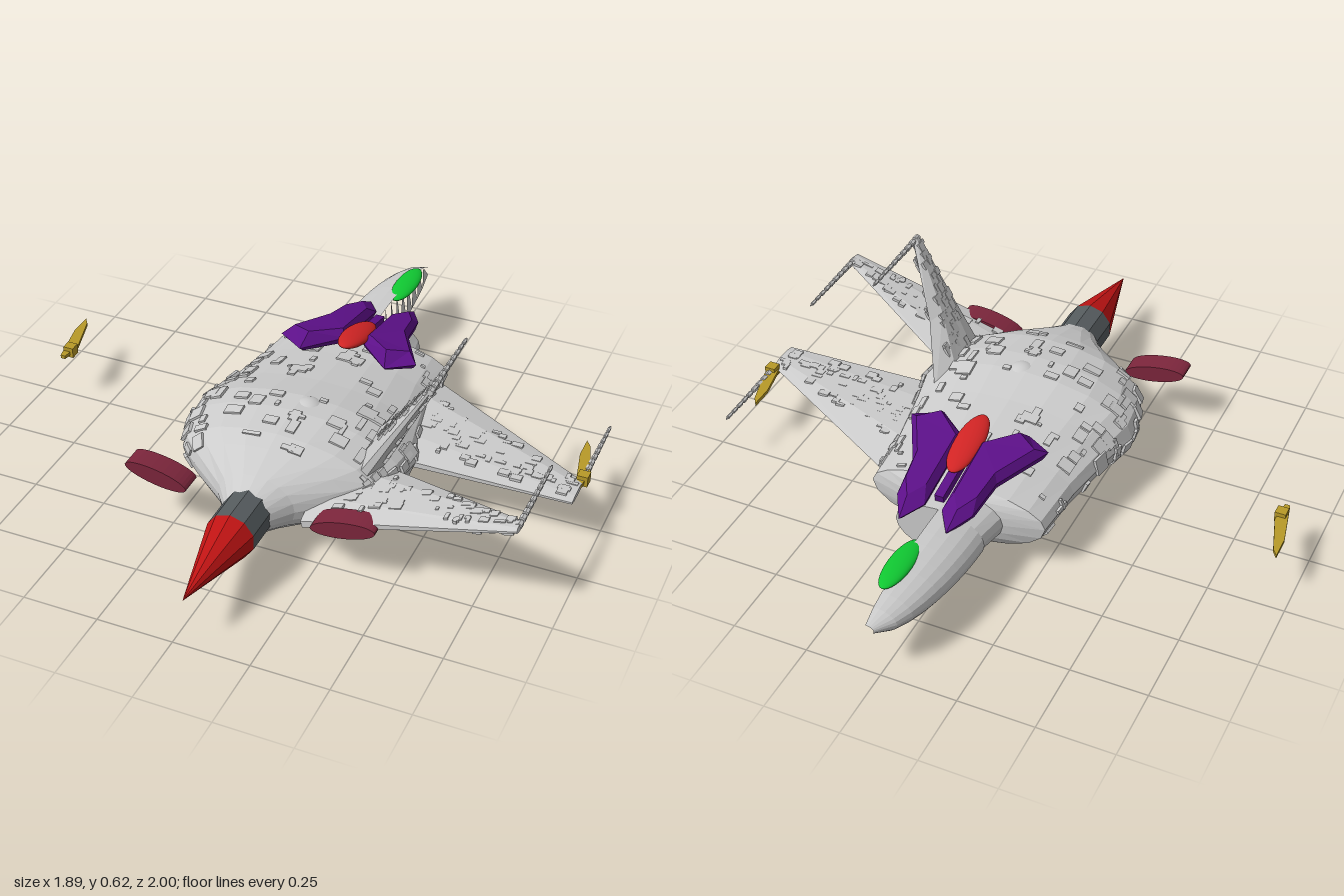
import * as THREE from 'three';
import { mergeGeometries } from 'three/addons/utils/BufferGeometryUtils.js';

const CX = 0.04; // centre line of the ship
const mat = (color = 0xcccccc, side = THREE.FrontSide) =>
  new THREE.MeshStandardMaterial({ color, side, flatShading: true });
const lerp = THREE.MathUtils.lerp;
let seed = 7;
const rnd = () => (seed = (seed * 16807) % 2147483647) / 2147483647;
const range = (a, b) => a + (b - a) * rnd();

// Skin closed rings of points, cap both ends, and turn faces outward.
function loft(rings) {
  const pos = [], n = rings[0].length;
  const tri = (a, b, c) => pos.push(...a, ...b, ...c);
  for (let i = 0; i < rings.length - 1; i++) {
    for (let j = 0; j < n; j++) {
      const k = (j + 1) % n, A = rings[i], B = rings[i + 1];
      tri(A[j], B[j], B[k]);
      tri(A[j], B[k], A[k]);
    }
  }
  const last = rings[rings.length - 1];
  for (let j = 1; j < n - 1; j++) {
    tri(rings[0][0], rings[0][j], rings[0][j + 1]);
    tri(last[0], last[j + 1], last[j]);
  }
  let volume = 0;
  const v = (i) => new THREE.Vector3().fromArray(pos, i);
  for (let i = 0; i < pos.length; i += 9) volume += v(i).dot(v(i + 3).cross(v(i + 6)));
  if (volume < 0) {
    for (let i = 0; i < pos.length; i += 9) {
      const b = pos.slice(i + 3, i + 6), c = pos.slice(i + 6, i + 9);
      pos.splice(i + 3, 6, ...c, ...b);
    }
  }
  const g = new THREE.BufferGeometry();
  g.setAttribute('position', new THREE.Float32BufferAttribute(pos, 3));
  g.computeVertexNormals();
  return g;
}

// Hull stations: z, half width, bottom, widest height, top
const HULL = [
  [-0.52, 0.15, 0.07, 0.165, 0.25], [-0.42, 0.17, 0.06, 0.165, 0.255],
  [-0.39, 0.3, 0.045, 0.17, 0.265], [-0.2, 0.315, 0.03, 0.175, 0.285],
  [0, 0.35, 0.012, 0.18, 0.31], [0.13, 0.38, 0.004, 0.18, 0.333],
  [0.22, 0.37, 0.004, 0.18, 0.335], [0.34, 0.33, 0.025, 0.18, 0.322],
  [0.4, 0.26, 0.045, 0.175, 0.305], [0.5, 0.13, 0.075, 0.17, 0.27],
  [0.57, 0.075, 0.1, 0.17, 0.24],
];
function hullAt(z, a) {
  let i = 0;
  while (i < HULL.length - 2 && z > HULL[i + 1][0]) i++;
  const t = (z - HULL[i][0]) / (HULL[i + 1][0] - HULL[i][0]);
  const [, w, bot, mid, top] = HULL[i].map((v, k) => lerp(v, HULL[i + 1][k], t));
  const s = Math.sin(a);
  return [CX + w * Math.cos(a), mid + s * (s > 0 ? top - mid : mid - bot), z];
}

// A shallow plate lying on a surface with the given normal
function plate(p, normal, w, h, d) {
  const z = new THREE.Vector3(0, 0, 1);
  z.addScaledVector(normal, -z.dot(normal)).normalize();
  const m = new THREE.Matrix4().makeBasis(new THREE.Vector3().crossVectors(normal, z), normal, z);
  return new THREE.BoxGeometry(w, h, d).applyMatrix4(m.setPosition(p));
}

function hullPlates() {
  const list = [];
  const P = (z, a) => new THREE.Vector3(...hullAt(z, a));
  for (let i = 0; i < 190; i++) {
    const z = range(-0.37, 0.38), a = range(0, Math.PI * 2), p = P(z, a);
    const n = P(z, a + 0.05).sub(P(z, a - 0.05)).cross(P(z + 0.01, a).sub(P(z - 0.01, a))).normalize();
    list.push(plate(p, n, range(0.012, 0.06), 0.01, range(0.01, 0.06)));
  }
  return mergeGeometries(list);
}

// Wing sections: x, y, leading z, trailing z, thickness
function wing(name, sections, count) {
  const group = new THREE.Group();
  group.name = name;
  const [r, e] = [sections[0], sections[sections.length - 1]];
  const n = new THREE.Vector3(r[1] - e[1], e[0] - r[0], 0).normalize();
  const rings = sections.map(([x, y, a, b, t]) =>
    [[0, 0], [0.3, 0.5], [0.75, 0.45], [1, 0.15], [1, -0.15], [0.75, -0.45], [0.3, -0.5]]
      .map(([u, s]) => [x + n.x * s * t, y + n.y * s * t, lerp(a, b, u)]));
  const panel = new THREE.Mesh(loft(rings), mat());
  panel.name = name + 'Panel';
  const list = [];
  for (let i = 0; i < count; i++) {
    const f = range(0.15, 0.97) * (sections.length - 1), k = Math.floor(f);
    const [x, y, a, b, t] = sections[k].map((v, j) => lerp(v, sections[k + 1][j], f - k));
    const side = i % 2 ? 1 : -1, u = range(0.2, 0.85);
    const p = new THREE.Vector3(x, y, lerp(a, b, u)).addScaledVector(n, side * t * 0.42);
    list.push(plate(p, n, range(0.01, 0.04), 0.009, range(0.01, 0.03)));
  }
  const plates = new THREE.Mesh(mergeGeometries(list), mat());
  plates.name = name + 'Plates';
  group.add(panel, plates);
  return group;
}

export function createModel() {
  const model = new THREE.Group();
  const add = (name, geo, material, x = 0, y = 0, z = 0) => {
    const m = new THREE.Mesh(geo, material);
    m.name = name;
    m.position.set(x, y, z);
    model.add(m);
    return m;
  };

  // Hull with scattered surface plates
  add('hull', loft(HULL.map(([z]) => Array.from({ length: 20 }, (_, j) => hullAt(z, j * Math.PI / 10)))), mat());
  add('hullPlates', hullPlates(), mat());
  const smooth = mat();
  smooth.flatShading = false;
  add('dome', new THREE.SphereGeometry(0.065, 24, 16), smooth, 0.065, 0.275, 0.155);

  // Half nose shell, with a saw-toothed inner wall on the open side
  const nose = [], wall = [], N = 9, A = 12;
  const noseAt = (i, a) => {
    const t = i / N, r = Math.sqrt(1 - 0.97 * t * t);
    const y = lerp(0.16, 0.17, t);
    return [CX - 0.155 * r * Math.sin(a), y + 0.09 * r * Math.cos(a), -0.52 - 0.48 * t];
  };
  for (let i = 0; i < N; i++) {
    for (let j = 0; j < A; j++) {
      const a = j * Math.PI / A, b = (j + 1) * Math.PI / A;
      const p = noseAt(i, a), q = noseAt(i + 1, a), r = noseAt(i + 1, b), s = noseAt(i, b);
      nose.push(...p, ...q, ...r, ...p, ...r, ...s);
    }
    wall.push(...noseAt(i, Math.PI), ...noseAt(i + 1, Math.PI), ...noseAt(i, 0));
  }
  for (const [name, pos] of [['noseShell', nose], ['noseInnerWall', wall]]) {
    const g = new THREE.BufferGeometry();
    g.setAttribute('position', new THREE.Float32BufferAttribute(pos, 3));
    g.computeVertexNormals();
    add(name, g, mat());
  }

  // Wings and canted fin
  model.add(
    wing('mainWing', [[0.25, 0.17, -0.385, 0.13, 0.075], [0.93, 0.17, 0, 0.12, 0.02]], 110),
    wing('rearWing', [[0.2, 0.15, 0.12, 0.52, 0.075], [0.875, 0.333, 0.46, 0.52, 0.018]], 90),
    wing('fin', [[0.31, 0.22, 0, 0.33, 0.09], [0.41, 0.4, 0.17, 0.33, 0.055], [0.53, 0.612, 0.3, 0.335, 0.02]], 80));

  // Segmented wingtip guns pointing along -z
  const profile = [[0, 0]];
  for (let i = 0; i < 10; i++) {
    const r = lerp(0.011, 0.006, i / 9);
    profile.push([r, i * 0.032], [r, i * 0.032 + 0.021], [r * 0.5, i * 0.032 + 0.022], [r * 0.5, i * 0.032 + 0.031]);
  }
  profile.push([0, 0.32]);
  const gun = new THREE.LatheGeometry(profile.map((p) => new THREE.Vector2(...p)), 6).rotateX(-Math.PI / 2);
  for (const p of [[0.925, 0.17, 0], [0.87, 0.333, 0.49], [0.53, 0.607, 0.335]]) add('tipGun', gun, mat(), ...p);

  // Engine: dark barrel and red spike
  add('engineBarrel', new THREE.CylinderGeometry(0.08, 0.08, 0.2, 10).rotateX(Math.PI / 2), mat(0x565c5f), CX, 0.17, 0.58);
  add('engineSpike', new THREE.ConeGeometry(0.08, 0.32, 10).rotateX(Math.PI / 2), mat(0xc01414), CX, 0.17, 0.84);

  // Oval thrusters, tilted outward
  for (const [x, y, z, tilt] of [[-0.285, 0.195, 0.502, -0.2], [0.345, 0.19, 0.51, 0.2]]) {
    const g = new THREE.CylinderGeometry(1, 1, 0.075, 32).rotateX(Math.PI / 2).scale(0.107, 0.029, 1);
    add('ovalThruster', g, mat(0x7c263c), x, y, z).rotation.z = tilt;
  }

  // Yellow tip blocks with thin blades
  const bladeShape = new THREE.Shape([[-0.012, -0.05], [0.005, -0.05], [0.012, 0.03], [-0.028, 0.165], [-0.046, 0.19], [-0.046, 0.11]]
    .map((p) => new THREE.Vector2(...p)));
  const blade = new THREE.ExtrudeGeometry(bladeShape, { depth: 0.012, bevelEnabled: false }).rotateX(-Math.PI / 2);
  for (const x of [-0.9, 0.925]) {
    add('tipBlock', new THREE.BoxGeometry(0.036, 0.036, 0.036), mat(0xb89a28), x, 0.17, -0.018);
    add('tipBlade', blade, mat(0xb89a28), x, 0.162, -0.02);
  }

  // Purple mantle: two mirrored lobes sloping down to the nose
  const outline = [[0.03, 0.25], [0.15, 0.145], [0.24, 0.2], [0.145, 0.38], [0.128, 0.52], [0.08, 0.605], [0.03, 0.53]];
  const lobeY = (z) => (z > -0.2 ? lerp(0.335, 0.315, (z + 0.2) / 0.06) : lerp(0.335, 0.25, (-0.2 - z) / 0.41));
  for (const s of [-1, 1]) {
    const ring = (k, h) => outline.map(([x, z]) => {
      const zz = -lerp(0.33, z, k), xx = lerp(0.1, x, k);
      return [0.053 + s * xx, lobeY(zz) + h - Math.max(0, xx - 0.13) * 0.15, zz];
    });
    add('mantleLobe', loft([ring(0.9, -0.028), ring(1, -0.005), ring(0.75, 0.022)]), mat(0x5c1088));
  }
  add('mantleBar', new THREE.BoxGeometry(0.03, 0.03, 0.24), mat(0x5c1088), 0.053, 0.285, -0.37).rotation.x = -0.2;

  // Red and green oval gems
  const gem = (name, color, size, p, tilt) => {
    const m = mat(color);
    m.flatShading = false;
    add(name, new THREE.SphereGeometry(1, 32, 20).scale(...size), m, ...p).rotation.x = tilt;
  };
  gem('redGem', 0xd02424, [0.048, 0.022, 0.125], [0.055, 0.325, -0.275], -0.2);
  gem('greenGem', 0x10c832, [0.04, 0.017, 0.117], [0.04, 0.238, -0.775], 0);

  return model;
}
